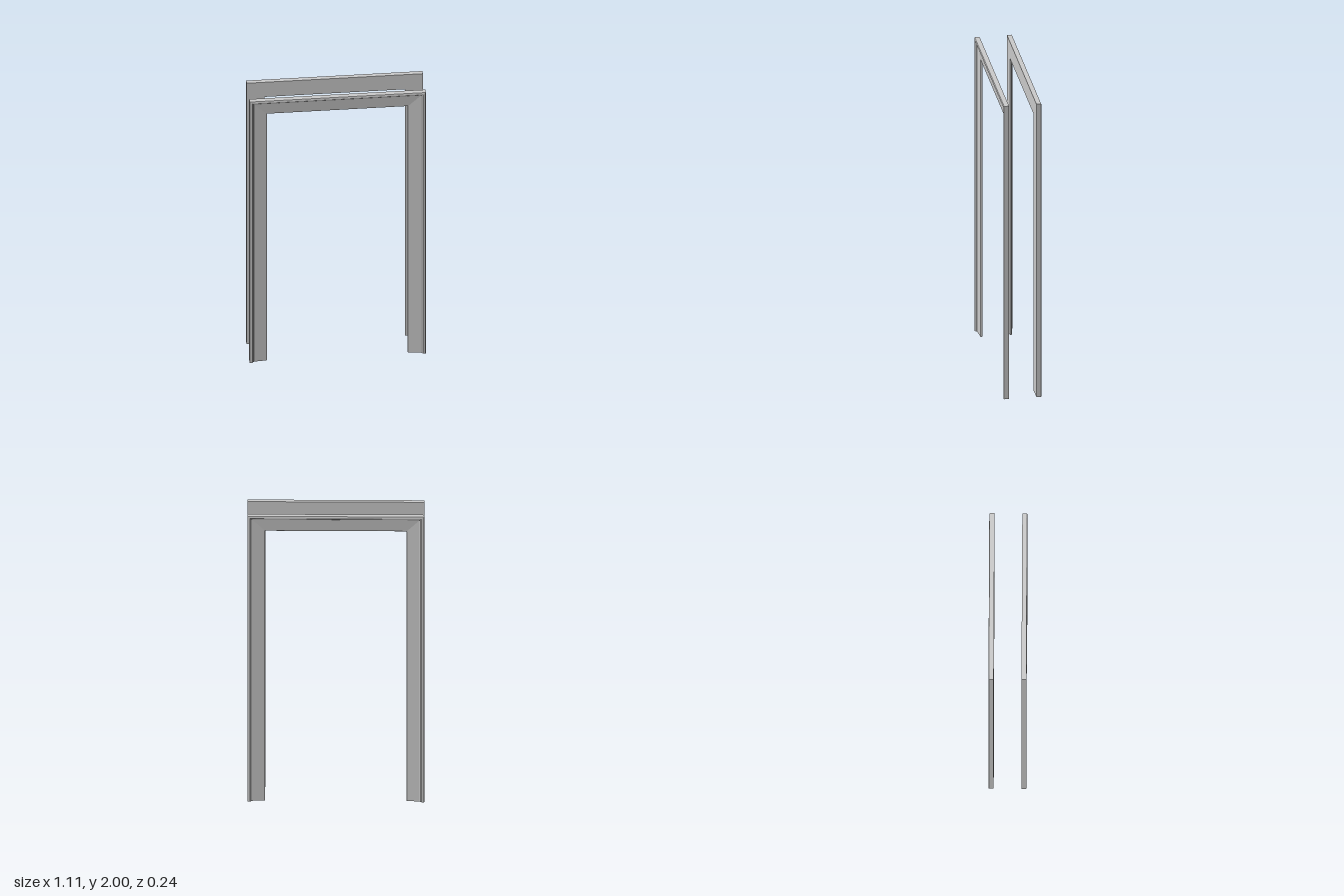
import * as THREE from 'three';

const HALF_WIDTH = 0.555, HEIGHT = 2, WALL_Z = 0.087;

// Moulding section: [distance inward from outer edge, thickness off the wall]
const PROFILE = [
  [0, 0], [0.112, 0], [0.112, 0.009], [0.1105, 0.0115], [0.107, 0.013],
  [0.029, 0.02], [0.027, 0.0215], [0.025, 0.025], [0.022, 0.026],
  [0.019, 0.03], [0.0165, 0.0325], [0.013, 0.033], [0.005, 0.032], [0.001, 0.0305], [0, 0.028],
];

// Path stations: foot, mitred corner, mitred corner, foot
const STATIONS = [
  (d, t) => [-HALF_WIDTH + d, 0, t],
  (d, t) => [-HALF_WIDTH + d, HEIGHT - d, t],
  (d, t) => [HALF_WIDTH - d, HEIGHT - d, t],
  (d, t) => [HALF_WIDTH - d, 0, t],
];

// Sweep the section along the three sides and cap the feet
function casingGeometry() {
  const pos = [];
  const point = (s, i) => STATIONS[s](...PROFILE[i % PROFILE.length]);
  const tri = (a, b, c) => pos.push(...a, ...b, ...c);
  for (let s = 0; s < 3; s++) {
    for (let i = 0; i < PROFILE.length; i++) {
      const a = point(s, i), b = point(s + 1, i);
      const c = point(s + 1, i + 1), d = point(s, i + 1);
      tri(a, b, c);
      tri(a, c, d);
    }
  }
  const outline = PROFILE.map(([d, t]) => new THREE.Vector2(d, t));
  for (const [i, j, k] of THREE.ShapeUtils.triangulateShape(outline, [])) {
    tri(point(0, i), point(0, j), point(0, k));
    tri(point(3, k), point(3, j), point(3, i));
  }
  const geometry = new THREE.BufferGeometry();
  geometry.setAttribute('position', new THREE.Float32BufferAttribute(pos, 3));
  geometry.computeVertexNormals();
  return geometry;
}

export function createModel() {
  const model = new THREE.Group();
  model.name = 'doorCasing';
  const material = new THREE.MeshStandardMaterial({ color: 0xcccccc });
  const geometry = casingGeometry();

  // One casing for each side of the wall
  const front = new THREE.Mesh(geometry, material);
  front.name = 'frontCasing';
  front.position.z = WALL_Z;

  const back = new THREE.Mesh(geometry, material);
  back.name = 'backCasing';
  back.rotation.y = Math.PI;
  back.position.z = -WALL_Z;

  model.add(front, back);
  return model;
}
